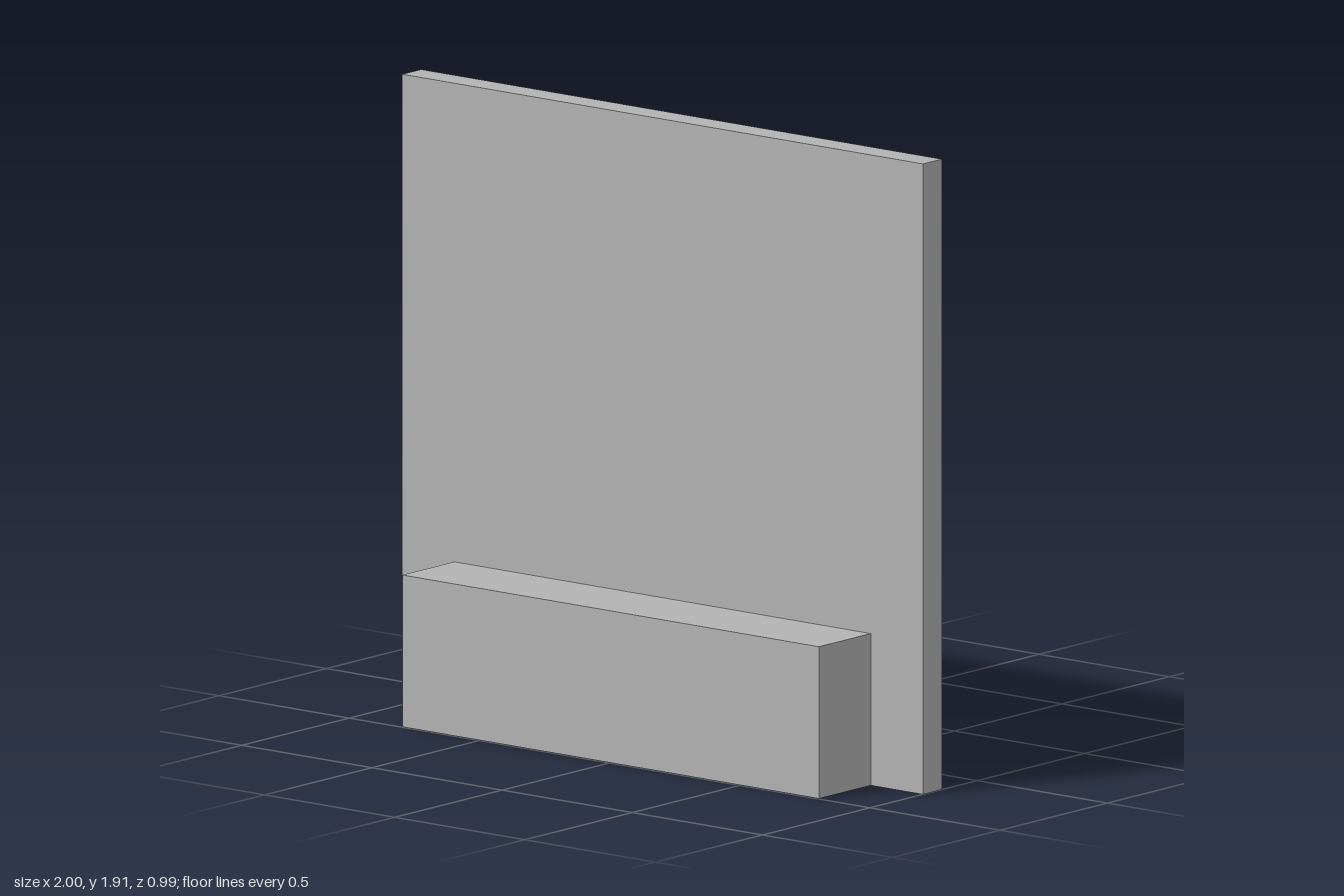
import * as THREE from 'three';

export function createModel() {
  const model = new THREE.Group();
  const grey = new THREE.MeshStandardMaterial({ color: 0xb3b3b3 });
  grey.name = 'light grey';

  const add = (name, geometry, y, z) => {
    const mesh = new THREE.Mesh(geometry, grey);
    mesh.name = name;
    mesh.position.set(0, y, z);
    model.add(mesh);
    return mesh;
  };

  // Box given by width and its y and z ranges, centred on x
  const addBox = (name, width, y0, y1, z0, z1) =>
    add(name, new THREE.BoxGeometry(width, y1 - y0, z1 - z0), (y0 + y1) / 2, (z0 + z1) / 2);

  // Upright square panel and the ledge along its foot
  addBox('panel', 2, 0, 1.91, 0.165, 0.253);
  addBox('frontLedge', 1.6, 0, 0.46, 0.253, 0.495);

  // Block on the back carrying a tapered round boss
  addBox('rearBlock', 0.86, 0.33, 1.19, -0.17, 0.165);
  const boss = new THREE.CylinderGeometry(0.278, 0.338, 0.325, 48);
  boss.rotateX(-Math.PI / 2); // narrow end points backwards
  add('rearBoss', boss, 0.76, -0.3325);

  return model;
}
